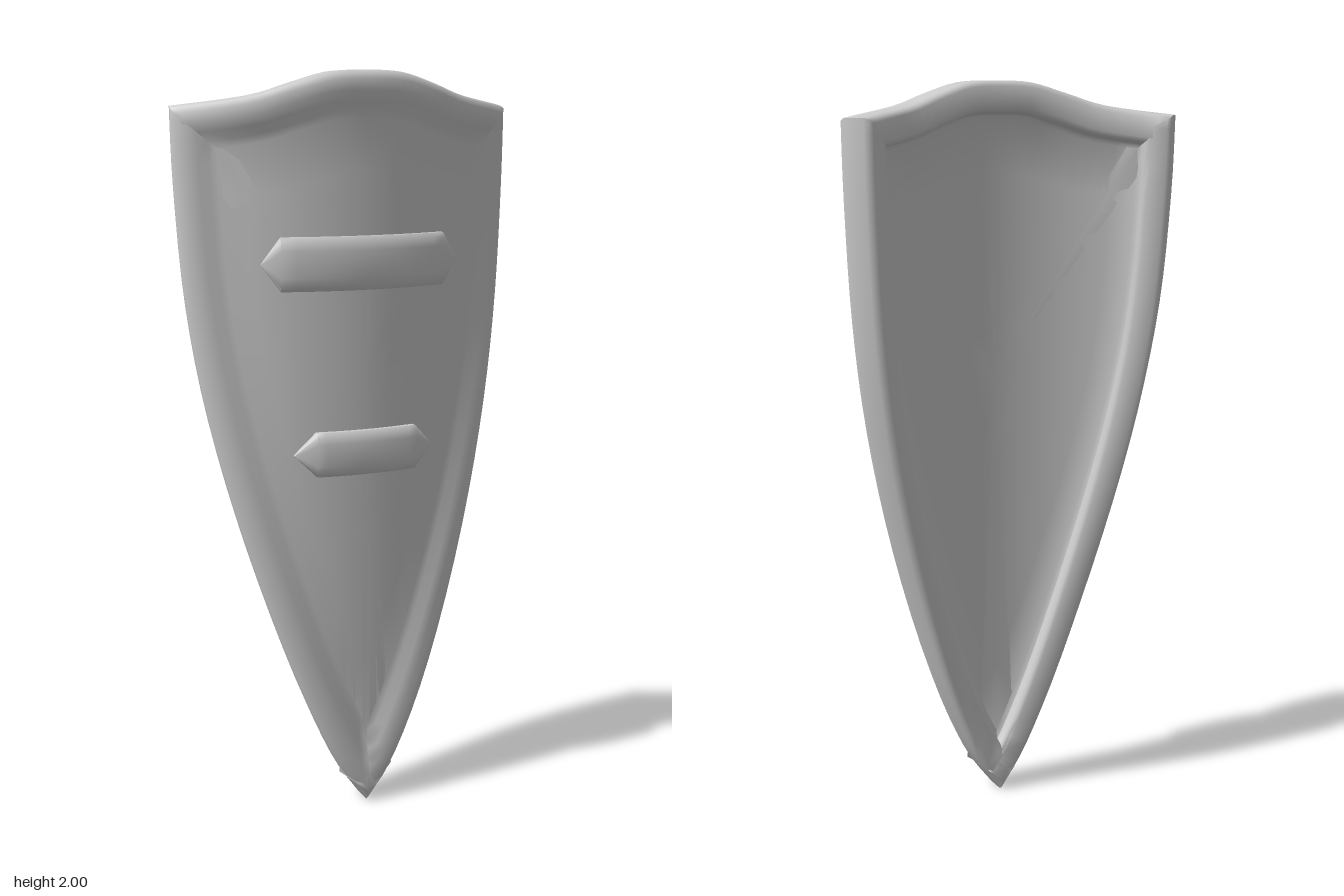
import * as THREE from 'three';
import { toCreasedNormals } from 'three/addons/utils/BufferGeometryUtils.js';

const AXIS_Z = -0.665; // axis of the cylinder the shield is bent around
const R0 = 0.761;      // radius on which flat widths are measured

// Wrap a flat point (s across, y up) onto radius r
const bend = (s, y, r) => [r * Math.sin(s / R0), y, AXIS_Z + r * Math.cos(s / R0)];
const flat = (x) => R0 * Math.asin(x / R0);

// Join closed loops of points into one surface
function skin(loops, crease) {
  const n = loops[0].length, index = [];
  for (let k = 0; k < loops.length - 1; k++) {
    for (let i = 0; i < n; i++) {
      const j = (i + 1) % n;
      const a = k * n + i, b = a + n, c = (k + 1) * n + j, d = k * n + j;
      index.push(a, b, c, a, c, d);
    }
  }
  const g = new THREE.BufferGeometry();
  g.setAttribute('position', new THREE.Float32BufferAttribute(loops.flat(2), 3));
  g.setIndex(index);
  return toCreasedNormals(g, crease);
}

// Flat outline, anticlockwise from the tip
function outline() {
  const curve = (pts, n) => new THREE.SplineCurve(
    pts.map(([x, y]) => new THREE.Vector2(flat(x), y))).getPoints(n);
  const side = curve([[0, 0], [0.09, 0.13], [0.2, 0.38], [0.32, 0.75],
    [0.405, 1.1], [0.45, 1.4], [0.47, 1.7], [0.475, 1.91]], 28);
  const top = curve([[0.475, 1.91], [0.31, 1.935], [0.2, 1.968], [0.1, 1.995],
    [0, 2], [-0.1, 1.995], [-0.2, 1.968], [-0.31, 1.935], [-0.475, 1.91]], 32);
  const left = side.slice(1).reverse().map((p) => new THREE.Vector2(-p.x, p.y));
  return [...side, ...top.slice(1), ...left.slice(1)];
}

// Move the outline inwards by d, with mitred corners
function inset(pts, d) {
  return pts.map((p, i) => {
    const e1 = p.clone().sub(pts.at(i - 1)).normalize();
    const e2 = pts[(i + 1) % pts.length].clone().sub(p).normalize();
    const n = new THREE.Vector2(-e1.y - e2.y, e1.x + e2.x).normalize();
    const miter = n.x * -e1.y + n.y * e1.x;
    return p.clone().addScaledVector(n, d / miter);
  });
}

function shieldGeometry() {
  const base = outline();
  const centre = new THREE.Vector2(0, 1.2);
  // [inset, radius, scale towards the centre], from front middle round to back middle
  const scales = [0, 0.2, 0.4, 0.6, 0.8];
  const rows = [
    ...scales.map((s) => [0.12, 0.762, s]),
    [0.12, 0.762], [0.1, 0.766], [0.075, 0.778], [0.05, 0.785], [0.022, 0.785],
    [0.008, 0.779], [0, 0.765], [0, 0.71], [0.004, 0.697], [0.014, 0.69],
    [0.066, 0.69], [0.077, 0.694], [0.083, 0.705], [0.087, 0.723], [0.1, 0.73],
    ...scales.slice().reverse().map((s) => [0.1, 0.73, s]),
  ];
  return skin(rows.map(([d, r, s = 1]) => inset(base, d).map((p) => {
    p.sub(centre).multiplyScalar(s).add(centre);
    return bend(p.x, p.y, r);
  })), 0.85);
}

// Curved bar with pointed ends
function barGeometry(y, half, body, tip) {
  const section = [[-1, 0.745], [-1, 0.776], [-0.85, 0.785], [-0.5, 0.79],
    [0.5, 0.79], [0.85, 0.785], [1, 0.776], [1, 0.745]];
  const stations = [[-tip, 0]];
  for (let i = 0; i <= 12; i++) stations.push([body * (i / 6 - 1), 1]);
  stations.push([tip, 0]);
  return skin(stations.map(([x, h]) => section.map(([v, r]) =>
    bend(flat(x) * 0.97, y + v * half * h, h ? r : Math.min(r, 0.774)))), 0.7);
}

export function createModel() {
  const group = new THREE.Group();
  const material = new THREE.MeshStandardMaterial({ color: 0xcccccc, side: THREE.DoubleSide });
  const add = (name, geometry) => {
    const mesh = new THREE.Mesh(geometry, material);
    mesh.name = name;
    group.add(mesh);
  };
  add('rimmedShieldPlate', shieldGeometry());
  add('upperBar', barGeometry(1.51, 0.07, 0.235, 0.285));
  add('lowerBar', barGeometry(1.005, 0.06, 0.145, 0.205));
  return group;
}
